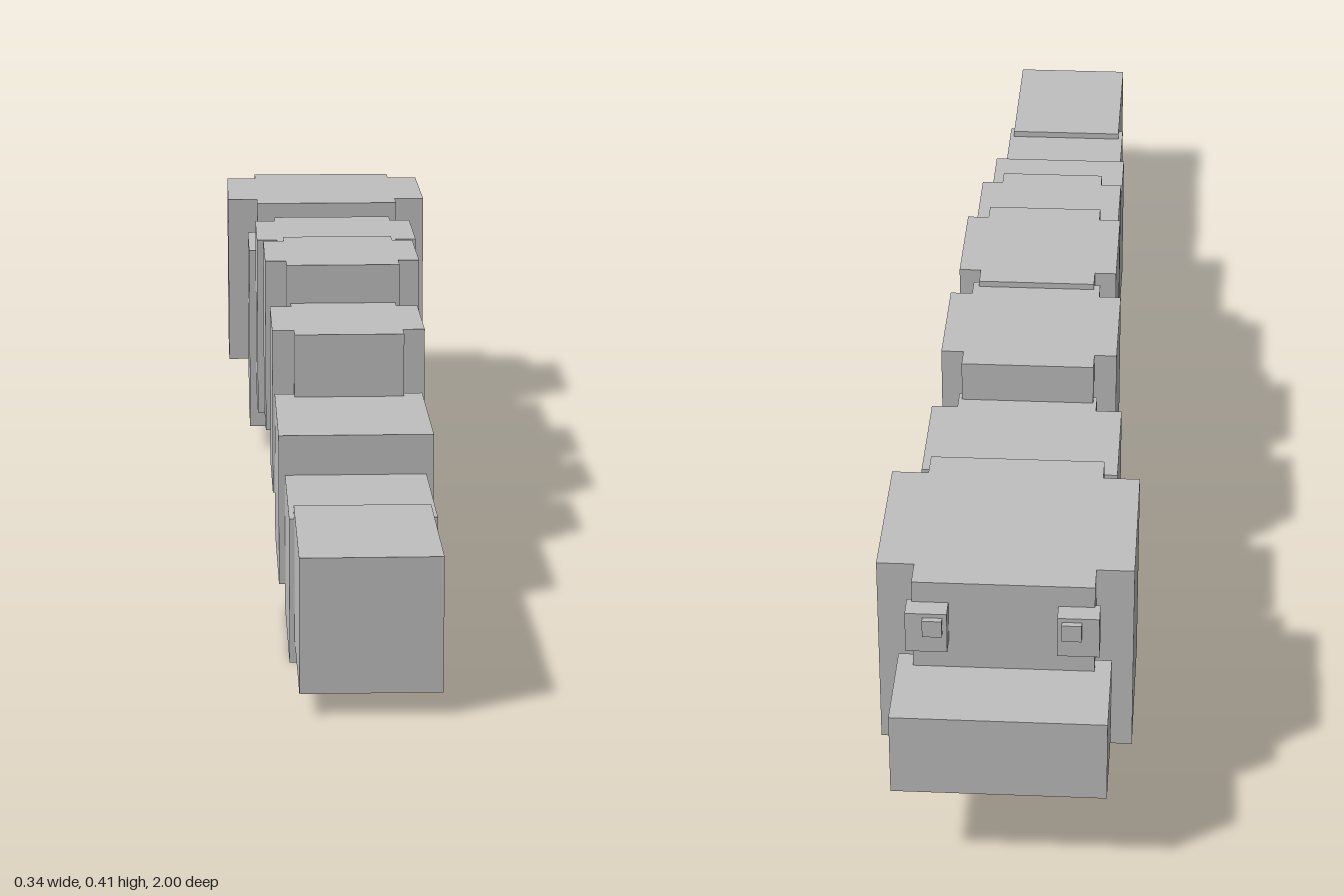
import * as THREE from 'three';

export function createModel() {
  const model = new THREE.Group();
  model.name = 'blockWorm';
  const grey = new THREE.MeshStandardMaterial({ color: 0xc0c0c0 });
  grey.name = 'grey';

  function add(name, geometry) {
    const mesh = new THREE.Mesh(geometry, grey);
    mesh.name = name;
    model.add(mesh);
  }

  // Box given by its limits
  function block(name, x0, x1, y0, y1, z0, z1) {
    const g = new THREE.BoxGeometry(x1 - x0, y1 - y0, z1 - z0);
    g.translate((x0 + x1) / 2, (y0 + y1) / 2, (z0 + z1) / 2);
    add(name, g);
  }

  // Block with notched vertical corners: w/n are the wide and narrow half widths,
  // z0..z1 the full length, notch the length of each narrow end
  function notched(name, w, n, y0, y1, z0, z1, notch) {
    const a = -z1, b = -z0, c = a + notch, d = b - notch;
    const outline = [
      [-n, a], [n, a], [n, c], [w, c], [w, d], [n, d],
      [n, b], [-n, b], [-n, d], [-w, d], [-w, c], [-n, c],
    ];
    const shape = new THREE.Shape(outline.map(([x, y]) => new THREE.Vector2(x, y)));
    const g = new THREE.ExtrudeGeometry(shape, { depth: y1 - y0, bevelEnabled: false });
    g.rotateX(-Math.PI / 2);
    g.translate(0, y0, 0);
    add(name, g);
  }

  // Plain tail blocks
  block('tailTip', -0.093, 0.091, 0.03, 0.21, 0.75, 1);
  block('tailMiddle', -0.1, 0.098, 0, 0.2, 0.53, 0.78);
  block('tailBase', -0.109, 0.108, 0.042, 0.257, 0.305, 0.555);

  // Arched body segments
  notched('bodySegment1', 0.112, 0.08, 0.104, 0.35, 0.09, 0.325, 0.032);
  notched('bodySegment2', 0.118, 0.086, 0.143, 0.409, -0.135, 0.1, 0.034);
  notched('bodySegment3', 0.127, 0.095, 0.117, 0.4, -0.36, -0.122, 0.034);
  notched('bodySegment4', 0.137, 0.1, 0.038, 0.34, -0.585, -0.345, 0.036);

  // Head and snout
  notched('head', 0.17, 0.12, 0.1, 0.384, -0.885, -0.583, 0.041);
  block('snout', -0.142, 0.142, 0.13, 0.25, -1, -0.86);

  // Eyes with pupils towards the middle
  for (const [side, s] of [['left', 1], ['right', -1]]) {
    const span = (a, b) => (s > 0 ? [a, b] : [-b, -a]);
    block(side + 'Eye', ...span(0.072, 0.127), 0.293, 0.353, -0.912, -0.88);
    block(side + 'Pupil', ...span(0.078, 0.104), 0.322, 0.347, -0.92, -0.911);
  }

  return model;
}
